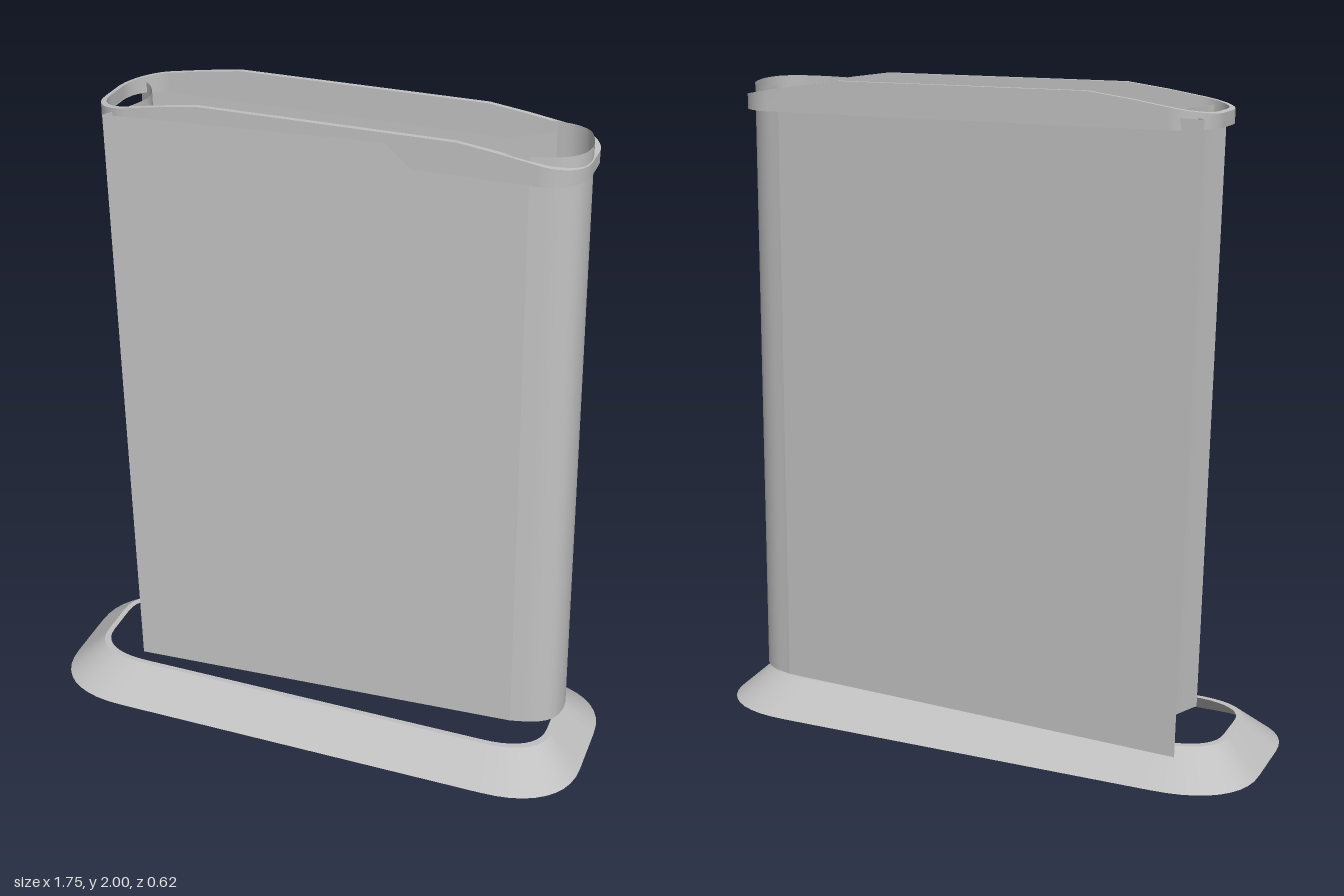
import * as THREE from 'three';
import { mergeGeometries } from 'three/addons/utils/BufferGeometryUtils.js';

const V = (x, y, z) => new THREE.Vector3(x, y, z);

// Surface between a lower and an upper row of points
function strip(low, high) {
  const pos = [], index = [], n = low.length;
  for (const p of [...low, ...high]) pos.push(p.x, p.y, p.z);
  for (let i = 0; i < n - 1; i++) index.push(i, i + 1, n + i + 1, i, n + i + 1, n + i);
  const g = new THREE.BufferGeometry();
  g.setAttribute('position', new THREE.Float32BufferAttribute(pos, 3));
  g.setIndex(index);
  g.computeVertexNormals();
  return g;
}

// Separate strips through successive rows keep the edges sharp
const loft = (rows) => mergeGeometries(rows.slice(1).map((r, i) => strip(rows[i], r)));

// Closed rounded rectangle, starting mid-front; height is a function of x
function loop(hx, hz, rx, rz, cz, height, power = 1) {
  const pts = [];
  const add = (x, z) => pts.push(V(x, height(x), cz + z));
  const corner = (sx, sz, flip) => {
    for (let i = 0; i <= 10; i++) {
      const a = ((flip ? 10 - i : i) / 10) * Math.PI / 2;
      add(sx * (hx - rx + rx * Math.pow(Math.max(0, Math.sin(a)), power)),
        sz * (hz - rz + rz * Math.pow(Math.max(0, Math.cos(a)), power)));
    }
  };
  for (const x of [0, 0.38, 0.5]) add(x, hz);
  corner(1, 1, false);
  corner(1, -1, true);
  for (const x of [0.5, 0.38, 0, -0.38, -0.5]) add(x, -hz);
  corner(-1, -1, false);
  corner(-1, 1, true);
  for (const x of [-0.5, -0.38, 0]) add(x, hz);
  return pts;
}

export function createModel() {
  const model = new THREE.Group();
  const grey = new THREE.MeshStandardMaterial({ color: 0xc0c0c0, side: THREE.DoubleSide });
  grey.name = 'light grey';
  const part = (name, geometry) => {
    const mesh = new THREE.Mesh(geometry, grey);
    mesh.name = name;
    model.add(mesh);
  };

  // Sloping base skirt with a narrow lip around the opening
  part('baseSkirt', loft([
    loop(0.875, 0.308, 0.27, 0.22, 0, () => 0, 0.85),
    loop(0.77, 0.19, 0.19, 0.13, 0, () => 0.095, 0.85),
    loop(0.752, 0.173, 0.18, 0.12, 0, () => 0.095, 0.85),
  ]));

  // Leaning open shell: flat front and back, rounded end, hollowed end
  const at = (x, z) => V(x, 0.102 + 0.029 * x + 0.03 * z, z);
  const curve = (pts, n) => new THREE.CatmullRomCurve3(pts.map((p) => at(...p))).getPoints(n);
  const lean = V(-0.057, 1.86, -0.06);
  const wall = (name, pts) => part(name, strip(pts, pts.map((p) => p.clone().add(lean))));
  wall('frontWall', [at(-0.61, 0.125), at(0.64, 0.088)]);
  wall('roundedEnd', curve([[0.64, 0.088], [0.72, 0.066], [0.765, 0.03], [0.782, -0.03],
    [0.772, -0.1], [0.745, -0.165], [0.7, -0.2], [0.64, -0.215]], 28));
  wall('backWall', [at(0.64, -0.215), at(-0.655, -0.225)]);
  wall('hollowEnd', curve([[-0.655, -0.225], [-0.585, -0.15], [-0.55, -0.065],
    [-0.568, 0.03], [-0.61, 0.125]], 20));

  // Collar around the top, lower toward both ends
  const rim = (x) => 2 - 0.055 * Math.pow(Math.max(0, (Math.abs(x) - 0.38) / 0.35), 1.15);
  const outer = (h) => loop(0.73, 0.165, 0.12, 0.125, -0.125, h);
  const inner = (h) => loop(0.714, 0.149, 0.106, 0.11, -0.125, h);
  const under = () => 1.905;
  part('topCollar', loft([outer(under), outer(rim), inner(rim), inner(under), outer(under)]));

  return model;
}
